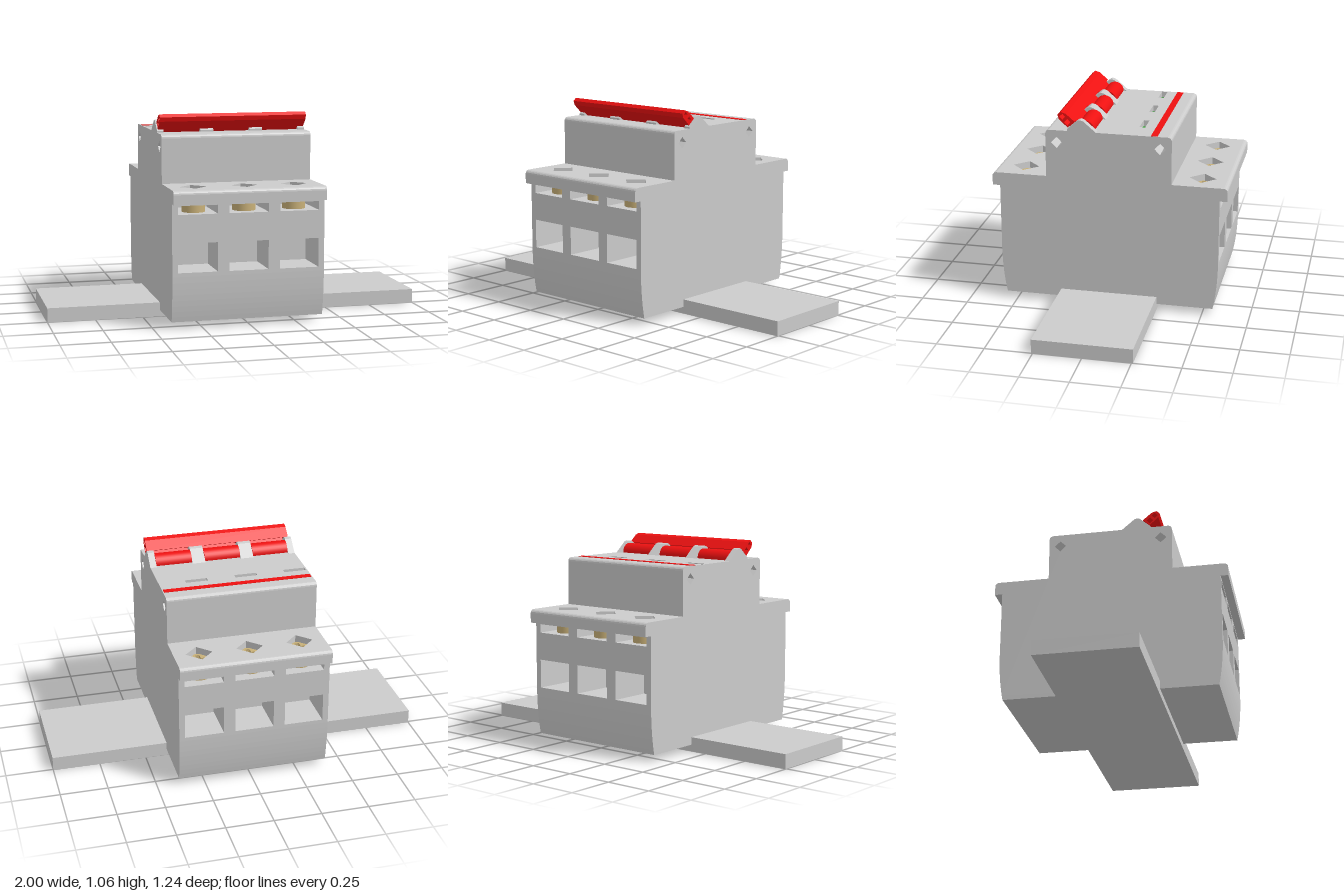
import * as THREE from 'three';

const mat = (color) => new THREE.MeshStandardMaterial({ color });
const grey = mat(0xcccccc), red = mat(0xee1111), gold = mat(0xc8b078), green = mat(0x119911);
const X0 = -0.41, PITCH = 0.265, POLES = 3, WIDTH = PITCH * POLES;
const TOP = 0.963, LEDGE = 0.71;

const toShape = (pts) => new THREE.Shape(pts.map(([a, b]) => new THREE.Vector2(a, b)));
const diamond = (a, b, r, s = r) => toShape([[a + r, b], [a, b + s], [a - r, b], [a, b - s]]);

function add(parent, name, geometry, material, x = 0, y = 0, z = 0) {
  const mesh = new THREE.Mesh(geometry, material);
  mesh.name = name;
  mesh.position.set(x, y, z);
  parent.add(mesh);
  return mesh;
}

// Side profile in (z, y), extruded along x from xa to xb
function sideExtrude(shape, xa, xb) {
  const g = new THREE.ExtrudeGeometry(shape, { depth: xb - xa, bevelEnabled: false });
  return g.rotateY(-Math.PI / 2).translate(xb, 0, 0);
}

// Plan outline in (x, z), extruded upward from y
function upExtrude(shape, y, height) {
  const g = new THREE.ExtrudeGeometry(shape, { depth: height, bevelEnabled: false, curveSegments: 20 });
  return g.rotateX(-Math.PI / 2).translate(0, y, 0);
}

// Points of a rounded corner in the first quadrant
function corner(cz, cy, r) {
  return [0, 1, 2, 3, 4].map((i) => {
    const a = (i / 4) * Math.PI / 2;
    return [cz + r * Math.cos(a), cy + r * Math.sin(a)];
  });
}

// Half of the stepped housing outline, from the bottom to the top
function halfProfile(pocket) {
  const skirt = new THREE.QuadraticBezierCurve(
    new THREE.Vector2(0.556, 0.035), new THREE.Vector2(0.578, 0.14), new THREE.Vector2(0.58, 0.27));
  const pts = skirt.getPoints(8).map((p) => [p.x, p.y]);
  if (pocket) {
    pts.push([0.58, 0.29], [0.36, 0.29], [0.36, 0.44], [0.58, 0.44], [0.58, 0.585], [0.33, 0.585]);
  } else {
    pts.push([0.58, 0.64], [0.62, 0.64], ...corner(0.6, LEDGE - 0.02, 0.02), [0.33, LEDGE]);
  }
  return [...pts, ...corner(0.31, TOP - 0.02, 0.02)];
}

function housingShape(pocket, slot) {
  const half = halfProfile(pocket);
  const back = half.map(([z, y]) => [-z, y]).reverse();
  const gap = slot ? [[-0.135, TOP], [-0.135, 0.92], [-0.165, 0.92], [-0.165, TOP]] : [];
  const shape = toShape([...half, ...gap, ...back]);
  shape.holes.push(diamond(0.27, 0.897, 0.03), diamond(-0.27, 0.897, 0.03));
  return shape;
}

// Screw with a cross-shaped recess in its head
function screw() {
  const g = new THREE.Group();
  g.name = 'terminalScrew';
  const head = new THREE.Shape().absarc(0, 0, 0.06, 0, Math.PI * 2);
  const a = 0.045, b = 0.011;
  head.holes.push(toShape([[a, -b], [a, b], [b, b], [b, a], [-b, a], [-b, b],
    [-a, b], [-a, -b], [-b, -b], [-b, -a], [b, -a], [b, -b]]));
  add(g, 'screwHead', upExtrude(head, 0.65, 0.025), gold);
  add(g, 'screwShank', new THREE.CylinderGeometry(0.06, 0.06, 0.065, 32), gold, 0, 0.6175, 0);
  return g;
}

function pole(index) {
  const g = new THREE.Group();
  g.name = 'pole' + (index + 1);
  const x = X0 + index * PITCH, mid = 0.1325;
  g.position.x = x;

  // Housing slices: [start, end, has terminal pocket, has indicator slot]
  [[0, 0.008, false, false], [0.008, 0.03, false, true], [0.03, 0.125, true, true],
    [0.125, 0.235, true, false], [0.235, PITCH, false, false]].forEach(([a, b, pocket, slot]) =>
    add(g, 'housing', sideExtrude(housingShape(pocket, slot), a, b), grey));

  // Terminal ledge with screw opening, at front and back
  for (const s of [1, -1]) {
    const plate = toShape([[0.03, -0.115], [0.235, -0.115], [0.235, 0.115], [0.03, 0.115]]);
    plate.holes.push(diamond(mid, -s * 0.027, 0.07));
    add(g, 'ledgePlate', upExtrude(plate, 0.63, LEDGE - 0.63), grey, 0, 0, s * 0.445);
    const lip = [[0.56, 0.63], [0.58, 0.63], [0.58, 0.64], [0.62, 0.64],
      ...corner(0.6, LEDGE - 0.02, 0.02), [0.56, LEDGE]].map(([z, y]) => [s * z, y]);
    add(g, 'ledgeLip', sideExtrude(toShape(lip), 0.03, 0.235), grey);
    const bolt = screw();
    bolt.position.set(mid, 0, s * 0.472);
    g.add(bolt);
  }

  // Status indicator at the bottom of its slot
  add(g, 'indicator', new THREE.BoxGeometry(0.095, 0.015, 0.03), green, 0.0775, 0.9275, -0.15);

  // Cheeks that hold the toggle barrel
  const cheek = toShape([[0.215, 0.955], [0.215, 0.972], [0.16, 1.02], [0.148, 1.025],
    [0.13, 1.02], [0.063, TOP], [0.063, 0.955]]);
  add(g, 'toggleCheek', sideExtrude(cheek, 0, 0.035), grey);
  add(g, 'toggleCheek', sideExtrude(cheek, 0.23, PITCH), grey);

  // Toggle barrel and the arm towards the handle bar
  const barrel = new THREE.CylinderGeometry(0.048, 0.048, 0.195, 32).rotateZ(Math.PI / 2);
  add(g, 'toggleBarrel', barrel, red, mid, 0.965, 0.127);
  const arm = toShape([[0.13, 0.965], [0.17, 0.945], [0.212, 0.98], [0.178, 1.01]]);
  add(g, 'toggleArm', sideExtrude(arm, 0.037, 0.228), red);
  return g;
}

export function createModel() {
  const model = new THREE.Group();
  model.name = 'circuitBreaker';

  add(model, 'mountingRail', new THREE.BoxGeometry(2, 0.075, 0.516), grey, 0, 0.0375, 0);
  for (let i = 0; i < POLES; i++) model.add(pole(i));

  // Hollow handle bar joining all toggles
  const bar = toShape([[0.212, 0.98], [0.258, 1.023], [0.265, 1.046], [0.248, 1.061],
    [0.222, 1.053], [0.175, 1.013]]);
  bar.holes.push(diamond(0.239, 1.036, 0.016), diamond(0.213, 1.008, 0.018));
  add(model, 'handleBar', sideExtrude(bar, X0 + 0.005, X0 + WIDTH - 0.005), red);

  // Coloured stripe across the top
  add(model, 'topStripe', new THREE.BoxGeometry(WIDTH - 0.01, 0.01, 0.034), red,
    X0 + WIDTH / 2, TOP - 0.003, -0.238);
  return model;
}
